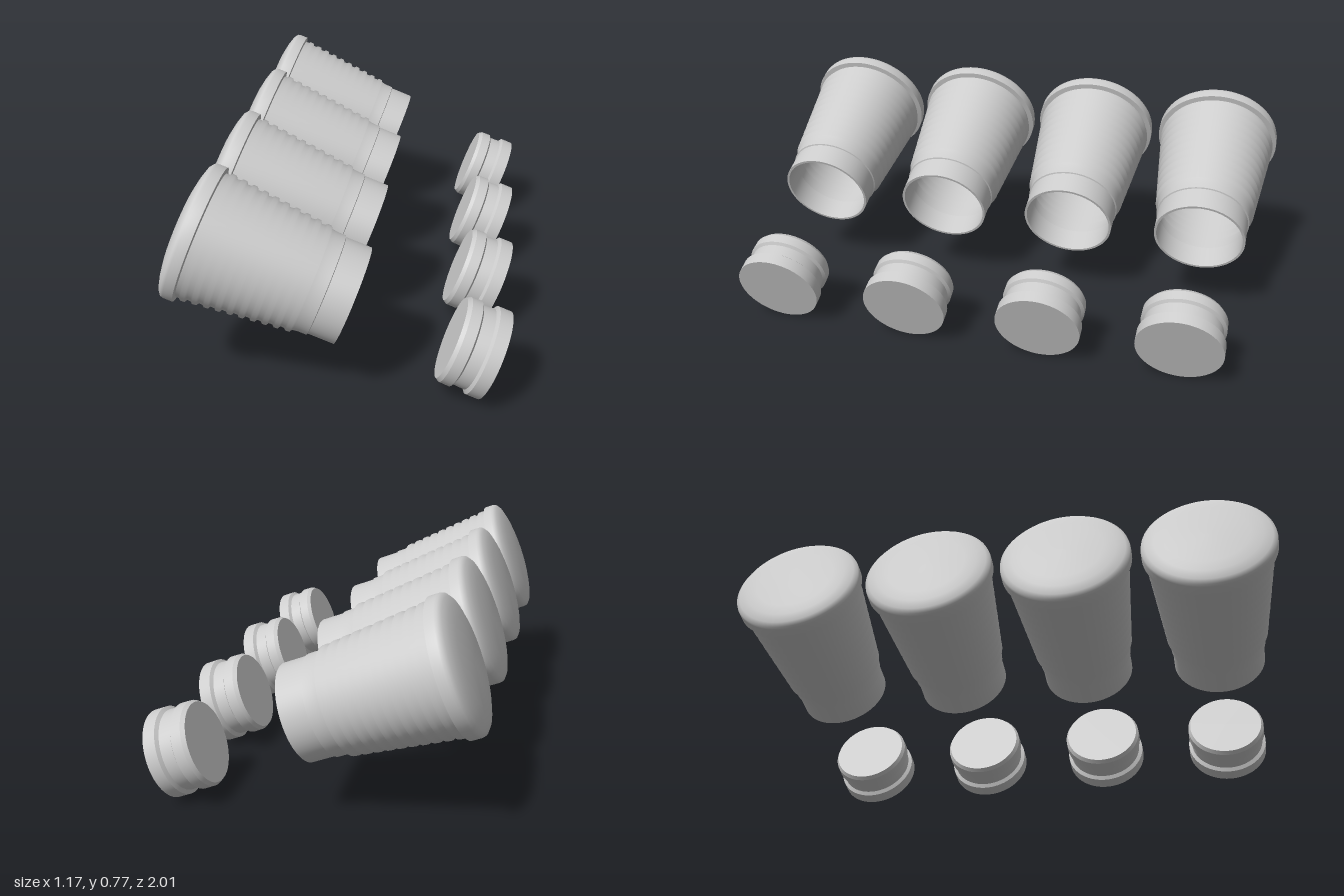
import * as THREE from 'three';
import { toCreasedNormals } from 'three/addons/utils/BufferGeometryUtils.js';

const SEGMENTS = 72;
const TILT = -1.941; // turns +y into the shared cup axis, pointing right and down

// Surface of revolution about y; profile points are [radius, height]
function revolve(points, crease) {
  const geo = new THREE.LatheGeometry(points.map(([r, h]) => new THREE.Vector2(r, h)), SEGMENTS);
  return crease === undefined ? geo : toCreasedNormals(geo, crease);
}

// Shade a ribbed wall as one smooth cone; side is 1 outside, -1 inside
function coneNormals(geo, slope, side) {
  const p = geo.attributes.position, n = geo.attributes.normal;
  const v = new THREE.Vector3();
  for (let i = 0; i < p.count; i++) {
    v.set(p.getX(i), 0, p.getZ(i)).normalize();
    v.y = slope;
    v.normalize().multiplyScalar(side);
    n.setXYZ(i, v.x, v.y, v.z);
  }
  return geo;
}

// Ribs between the base and the collar
function ribProfile(offset) {
  const points = [], count = 10, start = -0.54, end = -0.145, pitch = (end - start) / count;
  const radius = (h) => 0.226 - ((h - start) / (end - start)) * 0.04 - offset;
  for (let i = 0; i < count; i++) {
    const h = start + i * pitch;
    points.push([radius(h) - 0.007, h]);
    points.push([radius(h) - 0.006, h + pitch * 0.35]);
    points.push([radius(h), h + pitch * 0.5]);
    points.push([radius(h) - 0.001, h + pitch * 0.85]);
  }
  points.push([radius(end) - 0.006, end]);
  return points;
}

export function createModel() {
  const model = new THREE.Group();
  const grey = new THREE.MeshStandardMaterial({ color: 0xcccccc });
  grey.name = 'light grey';

  // Rounded base with a wide rim
  const base = revolve([
    [0, -0.617], [0.15, -0.614], [0.19, -0.606], [0.222, -0.596],
    [0.236, -0.585], [0.2385, -0.575], [0.2385, -0.542], [0.217, -0.539],
  ], 0.8);

  // Ribbed wall, collar, neck and lip
  const wall = coneNormals(revolve(ribProfile(0)), 0.1, 1);
  const neck = revolve([
    [0.18, -0.145], [0.177, -0.125], [0.177, -0.095], [0.172, -0.093],
    [0.172, 0], [0.163, 0], [0.163, -0.095],
  ], 0.6);

  // Hollow interior, running from the neck down to the floor
  const lining = coneNormals(
    revolve([[0.163, -0.095], ...ribProfile(0.01).reverse(), [0.205, -0.59]]), 0.1, -1);
  const floor = revolve([[0.205, -0.59], [0, -0.59]], 0.6);

  // Grooved stopper with flat ends
  const stopper = revolve([
    [0, -0.157], [0.143, -0.157], [0.152, -0.143], [0.153, -0.106],
    [0.142, -0.099], [0.144, -0.055], [0.157, -0.046], [0.157, 0], [0, 0],
  ], 0.45);

  const add = (group, name, geo) => {
    const mesh = new THREE.Mesh(geo, grey);
    mesh.name = name;
    group.add(mesh);
  };

  // Four cups in a row, each with its stopper
  for (let i = 0; i < 4; i++) {
    const z = -0.765 + i * 0.51;
    const cup = new THREE.Group();
    cup.name = 'cup';
    add(cup, 'base', base);
    add(cup, 'ribbedWall', wall);
    add(cup, 'neck', neck);
    add(cup, 'lining', lining);
    add(cup, 'floor', floor);
    cup.rotation.z = TILT;
    cup.position.set(0.0475, 0.345, z);

    const plug = new THREE.Group();
    plug.name = 'stopper';
    add(plug, 'stopperBody', stopper);
    plug.rotation.z = TILT;
    plug.position.set(0.526, 0.149, z);
    model.add(cup, plug);
  }
  return model;
}
